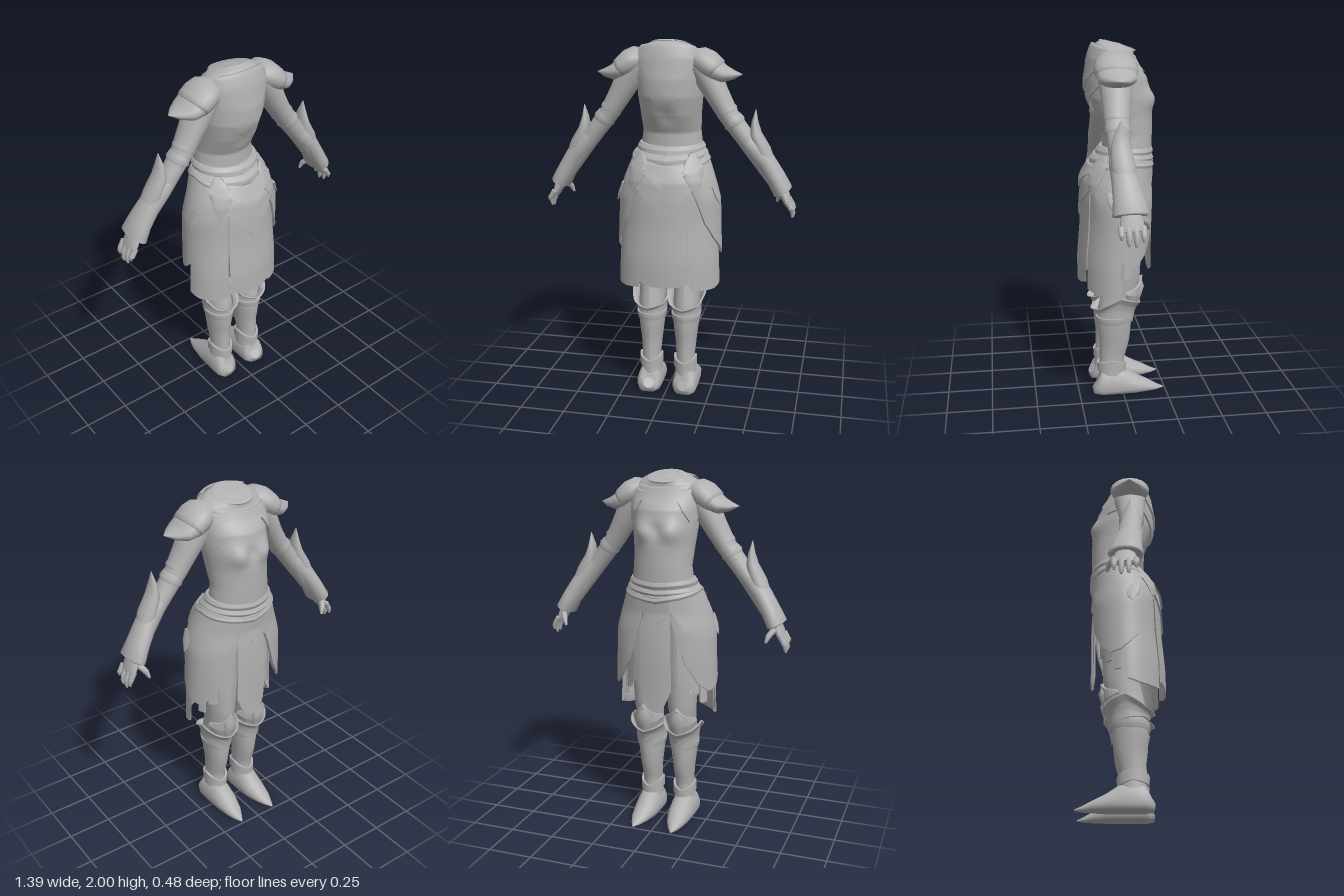
import * as THREE from 'three';

const armour = new THREE.MeshStandardMaterial({ color: 0xb0b0b0, side: THREE.DoubleSide });
armour.name = 'plain grey';
const TAU = Math.PI * 2;
const mesh = (name, geo, parent) => {
  const m = new THREE.Mesh(geo, armour);
  m.name = name;
  parent.add(m);
  return m;
};

// Skin a grid of rows of points
function skin(rows, wrap) {
  const n = rows[0].length, pos = rows.flat(2), idx = [];
  for (let i = 0; i < rows.length - 1; i++)
    for (let j = 0; j < (wrap ? n : n - 1); j++) {
      const a = i * n + j, b = i * n + (j + 1) % n;
      idx.push(a, b, a + n, b, b + n, a + n);
    }
  const g = new THREE.BufferGeometry();
  g.setAttribute('position', new THREE.Float32BufferAttribute(pos, 3));
  g.setIndex(idx);
  g.computeVertexNormals();
  return g;
}

// Oval sections [x, y, z, thickness, width] along a path; ref is the width direction
function limb(pts, ref = [0, 0, 1], n = 18) {
  const V = p => new THREE.Vector3(p[0], p[1], p[2]);
  const rings = pts.map((p, i) => {
    const c = V(p);
    const t = V(pts[Math.min(i + 1, pts.length - 1)]).sub(V(pts[Math.max(i - 1, 0)])).normalize();
    const b = V(ref).addScaledVector(t, -V(ref).dot(t)).normalize();
    const nn = b.clone().cross(t);
    return Array.from({ length: n }, (_, j) => {
      const a = j / n * TAU;
      const q = c.clone().addScaledVector(nn, p[3] * Math.cos(a)).addScaledVector(b, p[4] * Math.sin(a));
      return [q.x, Math.max(0, q.y), q.z];
    });
  });
  const cap = p => Array.from({ length: n }, () => [p[0], p[1], p[2]]);
  const last = rings.length - 1;
  return skin([cap(pts[0]), rings[0], ...rings, rings[last], cap(pts[last])], true);
}

// Body profiles: [y, centre z, half width, half depth]
const TORSO = [[1.2, .01, .19, .15], [1.32, -.01, .185, .155], [1.42, -.04, .172, .135], [1.5, -.042, .162, .135],
  [1.6, -.015, .167, .162], [1.7, .005, .178, .172], [1.8, .015, .18, .162], [1.88, .03, .182, .13],
  [1.93, .03, .168, .108], [1.95, .025, .14, .098], [1.97, .01, .09, .085], [1.972, .005, .075, .068],
  [1.978, .005, .04, .04], [1.98, .005, 0, 0]];
const SKIRT = [[.62, .03, .285, .195], [.8, .03, .28, .195], [1, .02, .268, .188], [1.15, .02, .26, .183],
  [1.25, .02, .235, .175], [1.35, -.005, .2, .162], [1.42, -.03, .178, .143], [1.46, -.04, .168, .135]];
const LEG = [[.1, .06, .06, .075], [.2, .06, .052, .07], [.3, .045, .06, .084], [.38, .045, .07, .094], [.45, .045, .077, .098],
  [.52, .04, .074, .097], [.6, .02, .073, .1], [.7, 0, .08, .1], [.9, 0, .095, .11], [1.3, 0, .095, .12]];

function profile(table, y) {
  let i = 0;
  while (i < table.length - 2 && y > table[i + 1][0]) i++;
  const A = table[i], B = table[i + 1];
  const t = THREE.MathUtils.clamp((y - A[0]) / (B[0] - A[0]), 0, 1);
  return A.map((v, k) => v + (B[k] - v) * t);
}
const along = (list, u) => {
  const f = u * (list.length - 1), i = Math.min(Math.floor(f), list.length - 2);
  return list[i] + (list[i + 1] - list[i]) * (f - i);
};
const bump = (x, y, cx, cy, r) => Math.exp(-((x - cx) ** 2 + (y - cy) ** 2) / (r * r));

// Plate on a body profile from angle a0 to a1 (0 = +z side), with edge heights listed along it
// and its stand-off listed from bottom to top
function drape(table, a0, a1, bot, top, off = [0, 0], thick = .012, n = 32, m = 14) {
  const layer = inset => Array.from({ length: m + 1 }, (_, i) => Array.from({ length: n + 1 }, (_, j) => {
    const u = j / n, a = a0 + (a1 - a0) * u, o = along(off, i / m) - inset;
    const y = along(bot, u) + (along(top, u) - along(bot, u)) * i / m;
    const [, cz, rx, rz] = profile(table, y);
    const x = (rx + o) * Math.sin(a);
    let z = cz + (rz + o) * Math.cos(a), h = y;
    if (table === TORSO) {
      if (z < -.05) z += .014 * bump(x, y, 0, 1.7, .035) - .03 * bump(Math.abs(x), y, .085, 1.69, .055);
      if (z > 0) z -= .015 * bump(x, y, 0, 1.6, .05);
      h += .3 * z * THREE.MathUtils.smoothstep(y, 1.8, 1.95);
    }
    return [x, h, z];
  }));
  const outer = layer(0);
  return skin(thick ? [...outer, ...layer(thick).reverse(), outer[0]] : outer, false);
}

function buildArm() {
  const g = new THREE.Group();
  mesh('upperArm', limb([[.17, 1.87, .05, .07, .09], [.215, 1.8, .05, .075, .09], [.265, 1.71, .055, .064, .078],
    [.33, 1.6, .06, .054, .066], [.4, 1.51, .06, .052, .058], [.46, 1.43, .06, .05, .055], [.6, 1.22, .035, .035, .05]]), g);
  // Ridged sleeve wraps
  for (const [x, y] of [[.285, 1.675], [.32, 1.62], [.36, 1.565]])
    mesh('sleeveBand', limb([[x - .018, y + .026, .06, .053, .064], [x, y, .06, .06, .07], [x + .012, y - .018, .06, .05, .058]]), g);
  // Shoulder armour: cap over a pointed flare, and a plate across the chest
  mesh('shoulderCap', limb([[.13, 1.905, .05, .045, .07], [.17, 1.895, .05, .068, .105], [.205, 1.875, .05, .074, .114],
    [.24, 1.85, .05, .068, .114], [.255, 1.838, .05, .066, .108], [.257, 1.836, .05, .05, .09]]), g);
  mesh('shoulderFlare', limb([[.2, 1.865, .05, .06, .095], [.25, 1.84, .05, .062, .108], [.3, 1.82, .05, .045, .098],
    [.35, 1.817, .05, .024, .06], [.395, 1.82, .05, .002, .004]]), g);
  mesh('chestShoulderPlate', drape(TORSO, 1.6, 2.6, [1.76, 1.75, 1.74, 1.79, 1.86], [1.92, 1.92], [.016, .016]), g);
  // Flared forearm guard with its elbow point
  mesh('bracer', limb([[.425, 1.475, .06, .045, .055], [.47, 1.43, .06, .056, .062], [.53, 1.36, .05, .054, .068],
    [.585, 1.275, .038, .052, .08], [.625, 1.2, .033, .054, .094], [.627, 1.196, .033, .04, .08]]), g);
  mesh('elbowPoint', limb([[.472, 1.64, .06, .002, .003], [.468, 1.575, .06, .018, .034], [.472, 1.51, .06, .034, .052],
    [.51, 1.42, .055, .048, .062], [.56, 1.34, .045, .03, .05]]), g);
  // Hand
  mesh('palm', limb([[.615, 1.22, .03, .028, .045], [.64, 1.17, .03, .026, .06], [.66, 1.125, .03, .018, .06]]), g);
  for (let i = 0; i < 4; i++) {
    const z = -.025 + i * .037, end = [1.075, 1.05, 1.055, 1.09][i];
    mesh('finger', limb([[.655, 1.15, z, .015, .017], [.677, 1.11, z, .015, .016],
      [.684, end + .02, z, .012, .013], [.682, end, z, .005, .006]], [0, 0, 1], 8), g);
  }
  mesh('thumb', limb([[.62, 1.18, -.02, .018, .02], [.6, 1.15, -.055, .016, .016], [.587, 1.115, -.065, .007, .008]], [0, 0, 1], 8), g);
  return g;
}

function buildLeg() {
  const g = new THREE.Group(), lower = new THREE.Group();
  g.add(lower);
  lower.position.x = .1;
  mesh('legAndBoot', drape(LEG, 0, TAU, [.1, .1], [1.3, 1.3], [0, 0], 0, 24, 40), lower);
  mesh('ankleCuff', drape(LEG, 0, TAU, [.13, .15, .12, .15, .13], [.18, .21, .17, .21, .18], [.01, .014]), lower);
  mesh('calfBand', drape(LEG, 0, TAU, [.43, .43], [.47, .47], [.004, .009]), lower);
  // Crown-shaped cuff flaring to a point on each side
  mesh('bootCuff', drape(LEG, 0, TAU, [.48, .49, .48, .46, .42, .46, .48, .49, .48],
    [.515, .535, .605, .57, .54, .57, .605, .535, .515], [.01, .012, .02, .042]), lower);
  mesh('kneeGuard', drape(LEG, Math.PI - 1.3, Math.PI + 1.3, [.6, .54, .47, .54, .6], [.63, .65, .7, .65, .63], [.016, .024, .016]), lower);
  mesh('kneeRidge', limb([[0, .7, -.1, .004, .01], [0, .64, -.1, .025, .04], [0, .58, -.085, .022, .035], [0, .49, -.07, .004, .008]], [1, 0, 0]), lower);
  mesh('foot', limb([[.1, .05, .155, .03, .03], [.102, .045, .148, .07, .058], [.104, .04, .12, .1, .07], [.104, .04, .06, .115, .071],
    [.104, .04, 0, .1, .07], [.105, .03, -.07, .062, .066], [.11, .018, -.15, .034, .048], [.113, .008, -.2, .018, .026],
    [.115, .006, -.24, .004, .004]], [1, 0, 0]), g);
  return g;
}

function buildHip() {
  const g = new THREE.Group();
  mesh('rearSkirtPanel', drape(SKIRT, .53, 1.55, [.65, .64, .64, .66], [1.36, 1.38, 1.38, 1.38], [.004, 0, .004]), g);
  mesh('hipPlate', drape(SKIRT, .62, 2.8, [1.2, 1.02, .93, .87, .82, .81, .86, .97, 1.2],
    [1.28, 1.33, 1.37, 1.39, 1.39, 1.38, 1.37, 1.36, 1.35], [.018, .024, .016]), g);
  mesh('hipLobe', drape(SKIRT, .42, .98, [1.3, 1.23, 1.19, 1.22, 1.3], [1.32, 1.37, 1.4, 1.4, 1.36], [.026, .034, .022]), g);
  mesh('hipSpike', limb([[.25, 1.22, .06, .01, .05], [.272, 1.16, .06, .012, .04], [.292, 1.11, .06, .002, .004]]), g);
  for (const [a, y] of [[1.75, .73], [2.1, .79], [2.42, .84]])
    mesh('hangingStrap', drape(SKIRT, a, a + .24, [y, y], [1.15, 1.15], [-.03, -.03], .012, 6), g);
  return g;
}

export function createModel() {
  const model = new THREE.Group();
  model.name = 'headlessArmouredFigure';
  const P = Math.PI;
  mesh('torso', drape(TORSO, 0, TAU, [1.2, 1.2], [1.98, 1.98], [0, 0], 0, 48, 100), model);
  // Layered pointed collar plates
  mesh('lowerBackPlate', drape(TORSO, -1.15, 1.15, [1.81, 1.76, 1.7, 1.61, 1.7, 1.76, 1.81], [1.92, 1.92], [.012, .012]), model);
  mesh('upperBackPlate', drape(TORSO, -.9, .9, [1.87, 1.83, 1.79, 1.73, 1.79, 1.83, 1.87], [1.94, 1.94], [.022, .02]), model);
  mesh('frontCollarPlate', drape(TORSO, P - .9, P + .9, [1.88, 1.86, 1.85, 1.83, 1.85, 1.86, 1.88], [1.94, 1.94], [.01, .008]), model);
  mesh('collarRim', drape(TORSO, 0, TAU, [1.962, 1.962], [1.974, 1.974], [.008, .014]), model);
  // Belts wound around the waist
  mesh('waistBelt', drape(SKIRT, 0, TAU, [1.39, 1.4, 1.38, 1.4, 1.39], [1.43, 1.44, 1.42, 1.44, 1.43], [.004, .012, .004]), model);
  mesh('wideBelt', drape(SKIRT, 0, TAU, [1.34, 1.37, 1.34, 1.36, 1.34], [1.385, 1.41, 1.38, 1.4, 1.385], [.008, .018, .008]), model);
  mesh('sash', drape(SKIRT, 0, TAU, [1.29, 1.34, 1.3, 1.36, 1.29], [1.335, 1.38, 1.34, 1.4, 1.335], [.014, .024, .014]), model);
  // Centre skirt panels and pointed plates over them
  mesh('rearCentrePanel', drape(SKIRT, -.49, .49, [.69, .67, .665, .67, .69], [1.25, 1.25], [.016, .016]), model);
  mesh('rearLowerPoint', drape(SKIRT, -.62, .62, [1.22, 1.17, 1.12, 1.04, 1.12, 1.17, 1.22], [1.32, 1.32], [.026, .018]), model);
  mesh('rearUpperPoint', drape(SKIRT, -.5, .5, [1.3, 1.27, 1.2, 1.27, 1.3], [1.34, 1.34], [.034, .022]), model);
  mesh('frontCentrePanel', drape(SKIRT, P - .32, P + .32, [.82, .72, .7, .72, .82], [1.32, 1.32], [.008, .006]), model);
  mesh('frontPoint', drape(SKIRT, P - .4, P + .4, [1.28, 1.24, 1.18, 1.24, 1.28], [1.35, 1.35], [.018, .016]), model);
  // Matching sides
  for (const [name, build] of [['Arm', buildArm], ['Leg', buildLeg], ['HipArmour', buildHip]]) {
    const left = build(), right = left.clone();
    left.name = 'left' + name;
    right.name = 'right' + name;
    right.scale.x = -1;
    model.add(left, right);
  }
  return model;
}
